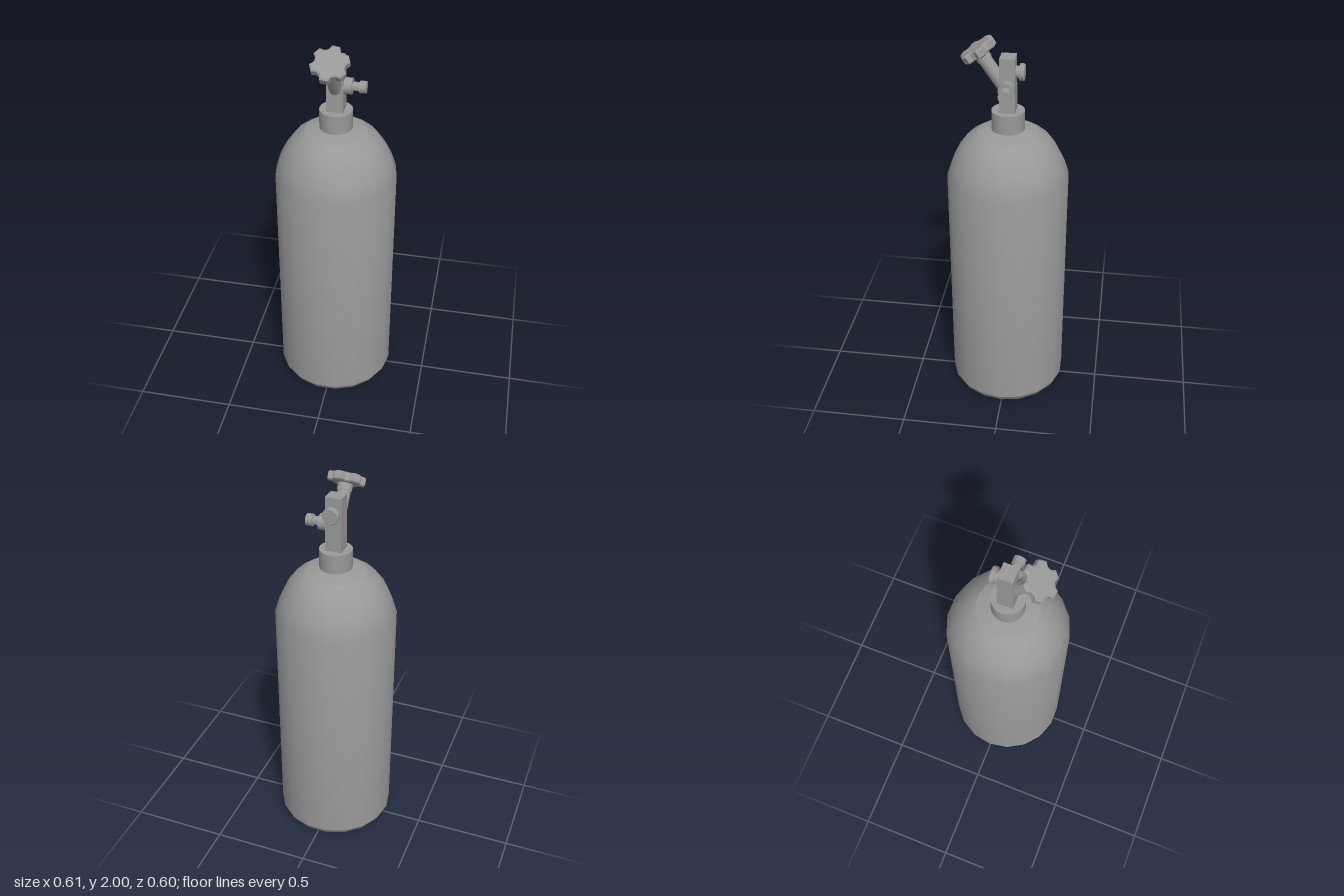
import * as THREE from 'three';
import { toCreasedNormals } from 'three/addons/utils/BufferGeometryUtils.js';

const material = new THREE.MeshStandardMaterial({ color: 0x999999 });

function add(parent, name, geometry) {
  const mesh = new THREE.Mesh(geometry, material);
  mesh.name = name;
  parent.add(mesh);
  return mesh;
}

// Turned part around y from [radius, height] pairs, with sharp edges kept
function turned(profile, sides) {
  const points = profile.map(([r, y]) => new THREE.Vector2(r, y));
  return toCreasedNormals(new THREE.LatheGeometry(points, sides, Math.PI / 2), 0.5);
}

// Six-lobed hand wheel, centred on its own axis (y)
function wheelGeometry() {
  const lobes = 6, bevel = 0.008, depth = 0.032;
  const shape = new THREE.Shape();
  for (let i = 0; i < lobes; i++) {
    const middle = THREE.MathUtils.degToRad(20 + i * 60);
    [[-19, 0.066], [-9, 0.084], [9, 0.084], [19, 0.066]].forEach(([offset, r], k) => {
      const a = middle + THREE.MathUtils.degToRad(offset);
      const x = r * Math.cos(a), y = r * Math.sin(a);
      if (i === 0 && k === 0) shape.moveTo(x, y);
      else shape.lineTo(x, y);
    });
  }
  shape.closePath();
  const geometry = new THREE.ExtrudeGeometry(shape, {
    depth, bevelEnabled: true, bevelSize: bevel, bevelThickness: 0.006, bevelSegments: 1,
  });
  geometry.translate(0, 0, -depth / 2);
  geometry.rotateX(-Math.PI / 2);
  return geometry;
}

export function createModel() {
  const model = new THREE.Group();
  model.name = 'gasCylinder';

  // Tank with chamfered foot and domed shoulder
  add(model, 'tank', turned([
    [0, 0], [0.275, 0], [0.287, 0.012], [0.306, 0.045], [0.306, 1.28],
    [0.282, 1.355], [0.25, 1.42], [0.205, 1.48], [0.155, 1.515],
  ], 18));

  // Shallow cone closing the shoulder
  add(model, 'tankTop', turned([[0.155, 1.515], [0.08, 1.536], [0, 1.536]], 18));

  // Neck collar
  add(model, 'neckCollar', turned([[0, 1.53], [0.082, 1.53], [0.082, 1.633], [0, 1.633]], 24));

  // Square valve block, slightly narrower at the top
  const block = new THREE.BoxGeometry(0.084, 0.286, 0.08);
  const position = block.attributes.position;
  for (let i = 0; i < position.count; i++) {
    if (position.getY(i) > 0) {
      position.setX(i, position.getX(i) * 0.96);
      position.setZ(i, position.getZ(i) * 0.92);
    }
  }
  block.computeVertexNormals();
  add(model, 'valveBlock', block).position.y = 1.766;

  // Stepped outlet on the left side
  const outlet = add(model, 'outlet', turned([
    [0, 0], [0.04, 0], [0.04, 0.042], [0.022, 0.042], [0.022, 0.076],
    [0.03, 0.076], [0.03, 0.109], [0, 0.109],
  ], 16));
  outlet.rotation.z = -Math.PI / 2;
  outlet.position.set(0.038, 1.762, 0);

  // Safety plug on the back
  const plug = add(model, 'safetyPlug', turned([
    [0, 0], [0.03, 0], [0.03, 0.028], [0.042, 0.028], [0.042, 0.047], [0.038, 0.052], [0, 0.052],
  ], 16));
  plug.rotation.x = -Math.PI / 2;
  plug.position.set(0, 1.832, -0.029);

  // Hand wheel on its tilted spindle
  const handle = new THREE.Group();
  handle.name = 'handWheel';
  handle.position.set(0, 1.933, 0.141);
  handle.rotation.x = THREE.MathUtils.degToRad(34);
  add(handle, 'wheel', wheelGeometry());
  add(handle, 'spindle', turned([
    [0, -0.225], [0.033, -0.225], [0.033, -0.055], [0.037, -0.055], [0.037, -0.015], [0, -0.015],
  ], 16));
  model.add(handle);

  return model;
}
